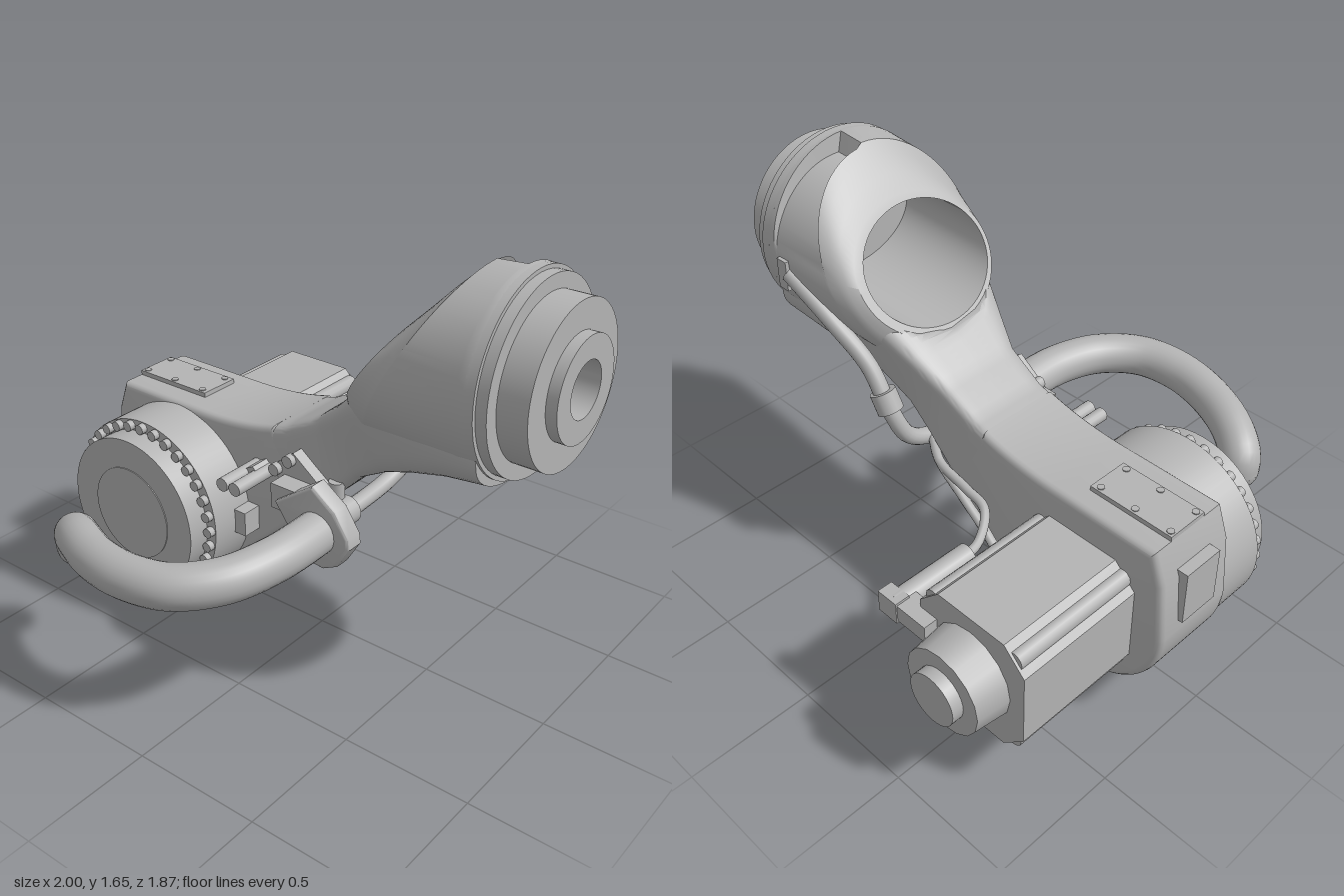
import * as THREE from 'three';
import { toCreasedNormals } from 'three/addons/utils/BufferGeometryUtils.js';

const JX = -0.62, JY = 0.46; // shoulder joint axis (along z)
const WY = 1.29, WZ = -0.06; // wrist axis (along x)

// Closed rings of [x, y, z] skinned into one surface
function skin(rings, caps = false) {
  const n = rings[0].length, idx = [], pos = rings.flat(2);
  for (let i = 0; i < rings.length - 1; i++)
    for (let j = 0; j < n; j++) {
      const k = (j + 1) % n, a = i * n, b = a + n;
      idx.push(a + j, b + j, a + k, b + j, b + k, a + k);
    }
  if (caps) {
    const last = (rings.length - 1) * n;
    for (let j = 1; j < n - 1; j++) idx.push(0, j, j + 1, last, last + j + 1, last + j);
  }
  const g = new THREE.BufferGeometry();
  g.setAttribute('position', new THREE.Float32BufferAttribute(pos, 3));
  g.setIndex(idx);
  return toCreasedNormals(g, 0.6);
}

export function createModel() {
  const model = new THREE.Group();
  model.name = 'robotArmSegment';
  const grey = new THREE.MeshStandardMaterial({ color: 0xb4b4b4 });
  grey.name = 'castingGrey';

  const add = (name, geo, x = 0, y = 0, z = 0) => {
    const m = new THREE.Mesh(geo, grey);
    m.name = name;
    m.position.set(x, y, z);
    model.add(m);
    return m;
  };
  const box = (name, w, h, d, x, y, z) => add(name, new THREE.BoxGeometry(w, h, d), x, y, z);
  // Cylinder from z0 to z1
  const cylZ = (name, r0, r1, z0, z1, x, y, sides = 40) =>
    add(name, new THREE.CylinderGeometry(r1, r0, z1 - z0, sides).rotateX(Math.PI / 2), x, y, (z0 + z1) / 2);
  const curve = pts => new THREE.CatmullRomCurve3(pts.map(p => new THREE.Vector3(...p)));
  const tube = (name, pts, r, seg = 60, sides = 16) =>
    add(name, new THREE.TubeGeometry(curve(pts), seg, r, sides));
  // Cylinder centred on a point and aligned with a direction
  const sleeve = (name, r, len, p, dir) =>
    add(name, new THREE.CylinderGeometry(r, r, len, 20), ...p).quaternion.setFromUnitVectors(
      new THREE.Vector3(0, 1, 0), new THREE.Vector3(...dir).normalize());
  const polygon = pts => new THREE.Shape(pts.map(p => new THREE.Vector2(...p)));
  // Shape extruded from z0 to z1
  const plate = (name, shape, z0, z1, bevel = 0) => {
    const g = new THREE.ExtrudeGeometry(shape, {
      depth: z1 - z0 - 2 * bevel, bevelEnabled: bevel > 0, bevelSize: bevel, bevelThickness: bevel,
      bevelOffset: -bevel, bevelSegments: 3, curveSegments: 28,
    });
    return add(name, toCreasedNormals(g, 0.6), 0, 0, z0 + bevel);
  };

  // Shoulder casting
  const s = new THREE.Shape();
  s.moveTo(-0.985, JY);
  s.absarc(JX, JY, 0.365, Math.PI, Math.PI * 1.74, false);
  s.lineTo(0.03, 0.565);
  s.lineTo(-0.14, 0.872);
  s.quadraticCurveTo(-0.3, 0.825, -0.5, 0.825);
  s.lineTo(-0.92, 0.825);
  s.lineTo(-0.965, 0.7);
  plate('shoulderHousing', s, -0.24, 0.12, 0.025);

  // Neck: [bottom xy, top xy, bottom z range, top z range, roundness]
  const stations = [
    [-0.02, 0.525, -0.2, 0.853, -0.24, 0.12, -0.24, 0.12, 0.2],
    [0.06, 0.6, -0.09, 0.888, -0.24, 0.12, -0.24, 0.12, 0.22],
    [0.16, 0.69, 0.06, 0.97, -0.235, 0.12, -0.25, 0.13, 0.25],
    [0.25, 0.78, 0.17, 1.06, -0.24, 0.13, -0.29, 0.18, 0.3],
    [0.38, 0.85, 0.28, 1.17, -0.26, 0.16, -0.345, 0.235, 0.4],
    [0.5, 0.885, 0.42, 1.24, -0.3, 0.19, -0.36, 0.25, 0.55],
    [0.65, 0.915, 0.6, 1.25, -0.34, 0.22, -0.37, 0.25, 0.75],
    [0.8, 0.93, 0.8, 1.25, -0.36, 0.24, -0.37, 0.25, 0.9],
  ];
  const lerp = THREE.MathUtils.lerp, sub = 5, neck = [];
  const pw = (c, e) => Math.sign(c) * Math.abs(c) ** e;
  for (let i = 0; i <= (stations.length - 1) * sub; i++) {
    const k = Math.min(Math.floor(i / sub), stations.length - 2), f = i / sub - k;
    const [bx, by, tx, ty, b0, b1, t0, t1, e] = stations[k].map((v, c) => lerp(v, stations[k + 1][c], f));
    neck.push(Array.from({ length: 48 }, (_, j) => {
      const a = j / 48 * Math.PI * 2;
      const u = (pw(Math.cos(a), e) + 1) / 2, v = (pw(Math.sin(a), e) + 1) / 2;
      const z = lerp(lerp(b0, t0, v), lerp(b1, t1, v), u), q = (z + 0.04) / 0.29;
      let y = lerp(by, ty, v);
      // keep clear of the wrist bore
      if (Math.abs(q) < 1) y = Math.min(y, 1.27 - 0.205 * Math.sqrt(1 - q * q));
      return [lerp(bx, tx, v), y, z];
    }));
  }
  add('neck', skin(neck, true));

  // Wrist housing: oval bore with a slanted mouth, and a recess at the upper back under a ridge
  const ring = (cy, ry, cz, rz, xOf, recessed = false) => Array.from({ length: 72 }, (_, j) => {
    const a = j / 72 * Math.PI * 2, deg = j * 5;
    const k = recessed && deg > 92 && deg < 178 ? lerp(0.8, 1, (deg - 92) / 86) : 1;
    const y = cy + k * ry * Math.sin(a);
    return [xOf(y), y, cz + k * rz * Math.cos(a)];
  });
  const along = t => y => lerp(0.18 + (y - 1.03) * 0.7, 0.78, t);
  add('wristHousing', skin([
    ring(WY, 0.1, WZ, 0.1, () => 0.78), ring(1.27, 0.19, -0.035, 0.273, () => 0.78),
    ring(1.27, 0.19, -0.035, 0.273, along(0)), ring(1.27, 0.215, -0.045, 0.3, along(0)),
    ring(1.275, 0.27, -0.055, 0.318, along(0.06)), ring(1.28, 0.32, WZ, 0.33, along(0.13)),
    ring(1.285, 0.35, WZ, 0.343, along(0.22)),
    ring(WY, 0.355, WZ, 0.347, along(0.24), true), ring(WY, 0.362, WZ, 0.358, along(0.88), true),
    ring(WY, 0.362, WZ, 0.36, along(0.9)), ring(WY, 0.36, WZ, 0.36, along(1)),
  ]));

  // Wrist output flange, stepped and bored
  const profile = [[0.1, 0.77], [0.36, 0.77], [0.36, 0.81], [0.345, 0.81], [0.345, 0.85], [0.29, 0.85],
    [0.29, 0.96], [0.185, 0.96], [0.185, 1], [0.1, 1], [0.1, 0.77]].map(p => new THREE.Vector2(...p));
  add('wristFlange', toCreasedNormals(new THREE.LatheGeometry(profile, 64).rotateZ(-Math.PI / 2), 0.6), 0, WY, WZ);

  // Shoulder gearbox with its ring of bolts
  cylZ('gearboxHousing', 0.355, 0.355, 0.1, 0.31, JX, JY, 64);
  cylZ('gearboxCover', 0.31, 0.31, 0.3, 0.4, JX, JY, 64);
  cylZ('coverDisc', 0.19, 0.19, 0.4, 0.404, JX, JY, 48);
  for (let i = 0; i < 32; i++) {
    const a = i / 32 * Math.PI * 2;
    cylZ('gearboxBolt', 0.02, 0.02, 0.3, 0.335, JX + 0.332 * Math.cos(a), JY + 0.332 * Math.sin(a), 12);
  }

  // Motor
  const octagon = [[1, -1], [1, 1], [-1, 1], [-1, -1]].flatMap(([a, b]) => {
    const p = [JX + a * 0.24, JY + b * 0.15], q = [JX + a * 0.15, JY + b * 0.24];
    return a === b ? [p, q] : [q, p];
  });
  plate('motorBody', polygon(octagon), -0.76, -0.22);
  for (const a of [-1, 1]) for (const b of [-1, 1]) // corner tie rods
    cylZ('motorTieRod', 0.035, 0.035, -0.75, -0.23, JX + a * 0.185, JY + b * 0.185, 12);
  cylZ('motorEndCap', 0.165, 0.18, -0.89, -0.75, JX, JY, 16);
  cylZ('motorEndBoss', 0.1, 0.1, -0.935, -0.88, JX, JY, 32);

  // Motor plugs and cables
  [[0.54, -0.8, -0.29], [0.42, -0.72, -0.31]].forEach(([y, z, x], i) => {
    cylZ('plug', 0.046, 0.046, z, z + 0.34, x, y, 20);
    box('plugClip', 0.09, 0.09, 0.06, x + 0.01, y, z + 0.01);
    box('plugSocket', 0.16, 0.07, 0.09, x - 0.09, y, z + 0.03);
    tube('motorCable', [[x, y, z + 0.3], [x + 0.01, y + 0.01, z + 0.4], [x + 0.08, y + 0.06, -0.3],
      [-0.1 + i * 0.02, 0.62 - i * 0.05, -0.285], [0.06, 0.64, -0.265], [0.17, 0.66, -0.2]], 0.018, 40, 10);
  });

  // Large hose, its clamp and the thin conduit running on to the wrist
  tube('largeHose', [[-0.62, 0.44, 0.67], [-0.615, 0.5, 0.685], [-0.53, 0.55, 0.745], [-0.35, 0.575, 0.825],
    [-0.17, 0.59, 0.852], [0, 0.6, 0.815], [0.125, 0.61, 0.69], [0.185, 0.62, 0.5], [0.19, 0.62, 0.22]], 0.082, 80, 24);
  add('hoseElbow', new THREE.SphereGeometry(0.083, 24, 16), -0.62, 0.455, 0.675);
  add('hoseEnd', new THREE.CylinderGeometry(0.083, 0.045, 0.07, 16), -0.62, 0.415, 0.675);
  plate('hoseClamp', polygon([[0, 0.68], [0.1, 0.54], [0.16, 0.485], [0.22, 0.48], [0.28, 0.51], [0.335, 0.6],
    [0.33, 0.64], [0.27, 0.73], [0.17, 0.8]]), 0.2, 0.28, 0.012);
  plate('clampBracket', polygon([[-0.11, 0.74], [0.08, 0.58], [0.17, 0.7], [0, 0.83]]), 0.11, 0.17);
  box('bracketArm', 0.2, 0.1, 0.1, 0.06, 0.68, 0.2);
  for (const [x, y] of [[-0.075, 0.745], [-0.01, 0.8]]) cylZ('bracketBolt', 0.024, 0.024, 0.16, 0.195, x, y, 12);
  tube('conduit', [[0.19, 0.62, 0.22], [0.19, 0.625, 0.05], [0.19, 0.645, -0.17], [0.2, 0.7, -0.29],
    [0.235, 0.82, -0.34], [0.33, 0.98, -0.35], [0.48, 1.12, -0.385], [0.68, 1.24, -0.405]], 0.033);
  sleeve('conduitCollar', 0.055, 0.07, [0.19, 0.63, 0.12], [0, 0, 1]);
  add('collarScrew', new THREE.CylinderGeometry(0.03, 0.03, 0.1, 12), 0.16, 0.7, 0.12);
  sleeve('conduitCollar', 0.05, 0.08, [0.25, 0.86, -0.343], [0.5, 1, -0.06]);
  box('conduitClip', 0.05, 0.12, 0.05, 0.69, 1.24, -0.405);

  // Cover plates with screws
  box('topCover', 0.35, 0.035, 0.17, -0.745, 0.826, -0.065);
  for (const x of [-0.9, -0.75, -0.6]) for (const z of [-0.13, 0])
    add('coverScrew', new THREE.CylinderGeometry(0.014, 0.014, 0.01, 10), x, 0.842, z);
  box('endCover', 0.05, 0.22, 0.17, -0.975, 0.615, -0.065);
  for (const y of [0.53, 0.7]) for (const z of [-0.13, 0])
    box('endCoverScrew', 0.006, 0.02, 0.02, -0.997, y, z);

  // Small cable guide beside the gearbox
  plate('guidePlate', polygon([[-0.27, 0.64], [-0.19, 0.65], [-0.14, 0.7], [-0.17, 0.73], [-0.26, 0.68]]), 0.11, 0.2);
  for (const x of [-0.215, -0.155]) cylZ('guidePin', 0.027, 0.027, 0.11, 0.32, x, 0.69, 14);
  box('guideFoot', 0.08, 0.1, 0.1, -0.255, 0.46, 0.15);

  // Curved stop finger under the shoulder, drawn in the z-y plane
  const f = new THREE.Shape();
  f.moveTo(-0.22, 0.11);
  f.lineTo(0.12, 0.11);
  f.quadraticCurveTo(0.18, 0.1, 0.18, 0.02);
  f.lineTo(0.225, 0.02);
  f.lineTo(0.225, 0.07);
  f.quadraticCurveTo(0.2, 0.16, 0.1, 0.17);
  f.lineTo(-0.22, 0.17);
  const finger = plate('stopFinger', f, 0, 0.09);
  finger.rotation.y = -Math.PI / 2;
  finger.position.x = -0.41;
  sleeve('fingerPad', 0.038, 0.056, [-0.455, 0.038, 0.203], [0, 0, 1]);

  return model;
}
